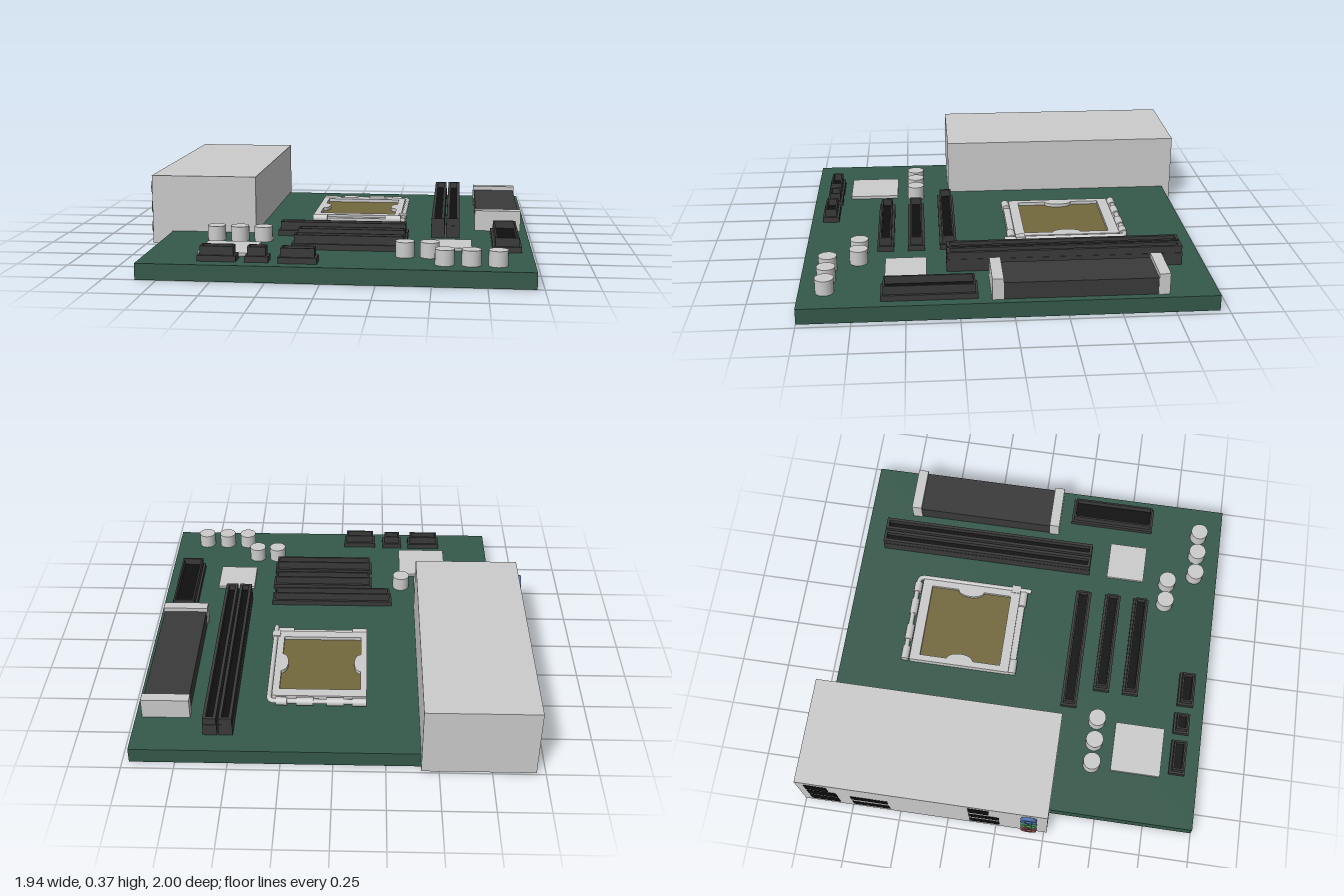
import * as THREE from 'three';

const mat = (color) => new THREE.MeshStandardMaterial({ color });
const grey = mat(0xcccccc), green = mat(0x35594a), dark = mat(0x3a3a3a),
  black = mat(0x0f0f0f), gold = mat(0x73683d);
const TOP = 0.077; // upper face of the board

export function createModel() {
  const model = new THREE.Group();

  const add = (name, geometry, material, parent = model) => {
    const mesh = new THREE.Mesh(geometry, material);
    mesh.name = name;
    parent.add(mesh);
    return mesh;
  };
  const group = (name) => {
    const g = new THREE.Group();
    g.name = name;
    model.add(g);
    return g;
  };
  // Box given by its limits on each axis
  const box = (name, x0, x1, y0, y1, z0, z1, material, parent) => {
    const g = new THREE.BoxGeometry(x1 - x0, y1 - y0, z1 - z0);
    g.translate((x0 + x1) / 2, (y0 + y1) / 2, (z0 + z1) / 2);
    return add(name, g, material, parent);
  };
  // Plan shape (drawn with -z as its second axis) raised from y0 to y1
  const raise = (shape, y0, y1) => new THREE.ExtrudeGeometry(shape,
    { depth: y1 - y0, bevelEnabled: false, curveSegments: 16 }).rotateX(-Math.PI / 2).translate(0, y0, 0);
  const rect = (Type, x0, x1, z0, z1) => {
    const s = new Type();
    s.moveTo(x0, -z1).lineTo(x1, -z1).lineTo(x1, -z0).lineTo(x0, -z0).closePath();
    return s;
  };
  const rod = (name, x0, x1, y, z, r, parent) => {
    const g = new THREE.CylinderGeometry(r, r, x1 - x0, 16).rotateZ(Math.PI / 2);
    return add(name, g.translate((x0 + x1) / 2, y, z), grey, parent);
  };

  // Board and rear port housing
  box('board', -0.85, 0.967, 0, TOP, -0.957, 1, green);
  box('portHousing', -0.955, -0.415, 0.01, 0.365, -1, 0.265, grey);

  // Rectangular ports: z0, z1, y0, y1
  const ports = group('ports');
  [
    [-0.96, -0.845, 0.245, 0.33], [-0.96, -0.81, 0.148, 0.23], [-0.96, -0.81, 0.045, 0.128],
    [-0.74, -0.55, 0.148, 0.21], [-0.74, -0.55, 0.047, 0.11],
    [-0.135, -0.03, 0.245, 0.335], [-0.135, 0.02, 0.148, 0.21], [-0.135, 0.02, 0.047, 0.115],
  ].forEach(([z0, z1, y0, y1]) => box('port', -0.957, -0.94, y0, y1, z0, z1, black, ports));

  // Round jacks: coloured ring with a dark socket
  const jacks = group('audioJacks');
  [[0.087, 0x8f4a50], [0.19, 0x4d9a5c], [0.293, 0x5273b0]].forEach(([y, color]) => {
    const ring = new THREE.Shape().absarc(0, 0, 0.041, 0, Math.PI * 2);
    ring.holes.push(new THREE.Path().absarc(0, 0, 0.02, 0, Math.PI * 2));
    const g = new THREE.ExtrudeGeometry(ring, { depth: 0.022, bevelEnabled: false, curveSegments: 14 });
    add('jackRing', g.rotateY(-Math.PI / 2).translate(-0.952, y, 0.172), mat(color), jacks);
    const hole = new THREE.CylinderGeometry(0.021, 0.021, 0.008, 20).rotateZ(Math.PI / 2);
    add('jackHole', hole.translate(-0.957, y, 0.172), black, jacks);
  });

  // Slot: wider foot, raised rim and dark floor
  const slot = (name, x0, x1, z0, z1, foot, top, step, wall) => {
    const g = group(name);
    box('foot', x0, x1, TOP, foot, z0, z1, dark, g);
    const a = step, b = step + wall;
    const rim = rect(THREE.Shape, x0 + a, x1 - a, z0 + a, z1 - a);
    rim.holes.push(rect(THREE.Path, x0 + b, x1 - b, z0 + b, z1 - b));
    add('rim', raise(rim, foot, top), dark, g);
    box('floor', x0 + b, x1 - b, foot - 0.01, foot + 0.004, z0 + b, z1 - b, black, g);
  };
  [
    [-0.29, 0.367, 0.245, 0.33], [-0.18, 0.37, 0.405, 0.49], [-0.18, 0.37, 0.56, 0.643],
  ].forEach((s) => slot('expansionSlot', ...s, 0.105, 0.147, 0.012, 0.009));
  [
    [-0.575, -0.395, 0.848, 0.93], [-0.355, -0.245, 0.848, 0.93], [-0.2, -0.02, 0.855, 0.94],
  ].forEach((s) => slot('header', ...s, 0.105, 0.147, 0.012, 0.009));
  slot('driveConnector', 0.78, 0.917, 0.165, 0.615, 0.105, 0.147, 0.012, 0.009);
  [0.481, 0.556].forEach((x) => slot('memorySlot', x, x + 0.068, -0.845, 0.303, 0.14, 0.176, 0.002, 0.015));

  // Long dark block with grey end clips
  const block = group('clippedModule');
  box('body', 0.707, 0.93, TOP, 0.16, -0.68, 0.06, dark, block);
  [-0.722, 0.05].forEach((z) => box('endClip', 0.701, 0.935, TOP, 0.182, z, z + 0.053, grey, block));

  // Flat chips
  box('chip', -0.6, -0.34, TOP, 0.092, 0.548, 0.805, grey);
  box('chip', 0.48, 0.682, TOP, 0.092, 0.4, 0.6, grey);

  // Capacitors
  [
    [-0.58, 0.447], [-0.463, 0.447], [-0.345, 0.447], [0.37, 0.73], [0.485, 0.73],
    [0.556, 0.876], [0.677, 0.876], [0.798, 0.876],
  ].forEach(([x, z]) => {
    add('capacitor', new THREE.CylinderGeometry(0.045, 0.045, 0.15 - TOP, 24), grey)
      .position.set(x, (TOP + 0.15) / 2, z);
  });

  // Processor socket: frame with two rounded inward tabs
  const socket = group('processorSocket');
  const frame = rect(THREE.Shape, -0.157, 0.312, -0.59, -0.055);
  const opening = new THREE.Path();
  const tab = (x, z, dx, dir) => { // half-oval bulging into the opening
    for (let i = 0; i <= 12; i++) {
      const t = Math.PI * i / 12;
      opening.lineTo(x + dx * Math.sin(t), -z + dir * 0.07 * Math.cos(t));
    }
  };
  opening.moveTo(-0.125, 0.105).lineTo(0.277, 0.105);
  tab(0.277, -0.322, -0.033, -1);
  opening.lineTo(0.277, 0.537).lineTo(-0.125, 0.537);
  tab(-0.125, -0.322, 0.033, 1);
  opening.closePath();
  frame.holes.push(opening);
  add('frame', raise(frame, TOP, 0.117), grey, socket);
  box('contactPad', -0.14, 0.29, TOP, 0.1, -0.55, -0.09, gold, socket);
  box('latchTab', 0.3, 0.343, 0.1, 0.122, -0.103, -0.055, grey, socket);

  // Hinge rods, knuckles and the bent lever
  [[-0.157, -0.08], [0.23, 0.312]].forEach(([a, b]) => rod('frontKnuckle', a, b, 0.1, -0.036, 0.021, socket));
  box('frontLip', -0.1, 0.25, TOP, 0.105, -0.06, -0.022, grey, socket);
  [[-0.157, -0.085], [-0.045, 0.04], [0.105, 0.19], [0.235, 0.29]]
    .forEach(([a, b]) => rod('rearKnuckle', a, b, 0.102, -0.615, 0.021, socket));
  const path = new THREE.CurvePath();
  const p = (x, z) => new THREE.Vector3(x, 0.105, z);
  path.add(new THREE.LineCurve3(p(-0.15, -0.617), p(0.295, -0.617)));
  path.add(new THREE.QuadraticBezierCurve3(p(0.295, -0.617), p(0.325, -0.617), p(0.325, -0.585)));
  path.add(new THREE.LineCurve3(p(0.325, -0.585), p(0.325, 0)));
  add('lever', new THREE.TubeGeometry(path, 80, 0.013, 10), grey, socket);
  const cap = new THREE.CylinderGeometry(0.013, 0.013, 0.004, 10).rotateX(Math.PI / 2);
  add('leverEnd', cap.translate(0.325, 0.105, 0), grey, socket);

  return model;
}
